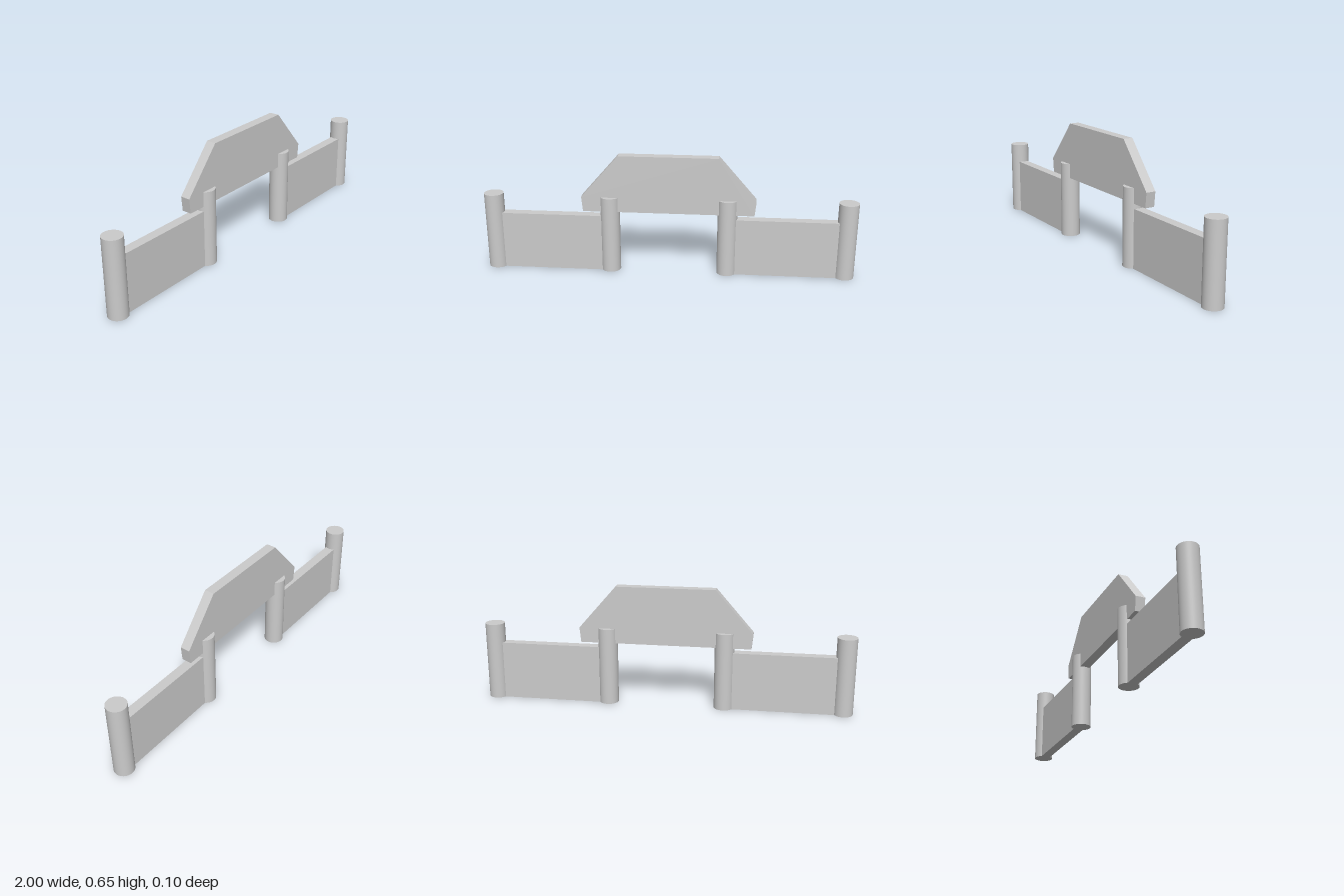
import * as THREE from 'three';

export function createModel() {
  const group = new THREE.Group();
  const material = new THREE.MeshStandardMaterial({ color: 0xcccccc });
  const add = (name, geometry, x = 0, y = 0, z = 0) => {
    const mesh = new THREE.Mesh(geometry, material);
    mesh.name = name;
    mesh.position.set(x, y, z);
    group.add(mesh);
  };

  const radius = 0.0525, postHeight = 0.421;
  const innerX = 0.315, outerX = 1 - radius;
  const panelHeight = 0.315, thickness = 0.053;

  // Two mirrored fence sections, each a panel between round posts
  const postGeometry = new THREE.CylinderGeometry(radius, radius, postHeight, 48);
  const panelGeometry = new THREE.BoxGeometry(outerX - innerX, panelHeight, thickness);
  for (const [side, s] of [['left', 1], ['right', -1]]) {
    add(side + 'InnerPost', postGeometry, s * innerX, postHeight / 2);
    add(side + 'OuterPost', postGeometry, s * outerX, postHeight / 2);
    add(side + 'Panel', panelGeometry, s * (innerX + outerX) / 2, panelHeight / 2);
  }

  // Sign board with sloped shoulders, carried by the inner posts
  const half = [[0.457, 0.341], [0.465, 0.421], [0.264, 0.652]];
  const outline = [...half, ...half.map(([x, y]) => [-x, y]).reverse()];
  const board = new THREE.Shape(outline.map(([x, y]) => new THREE.Vector2(x, y)));
  add('topBoard', new THREE.ExtrudeGeometry(board, { depth: thickness, bevelEnabled: false }), 0, 0, -thickness / 2);

  return group;
}
